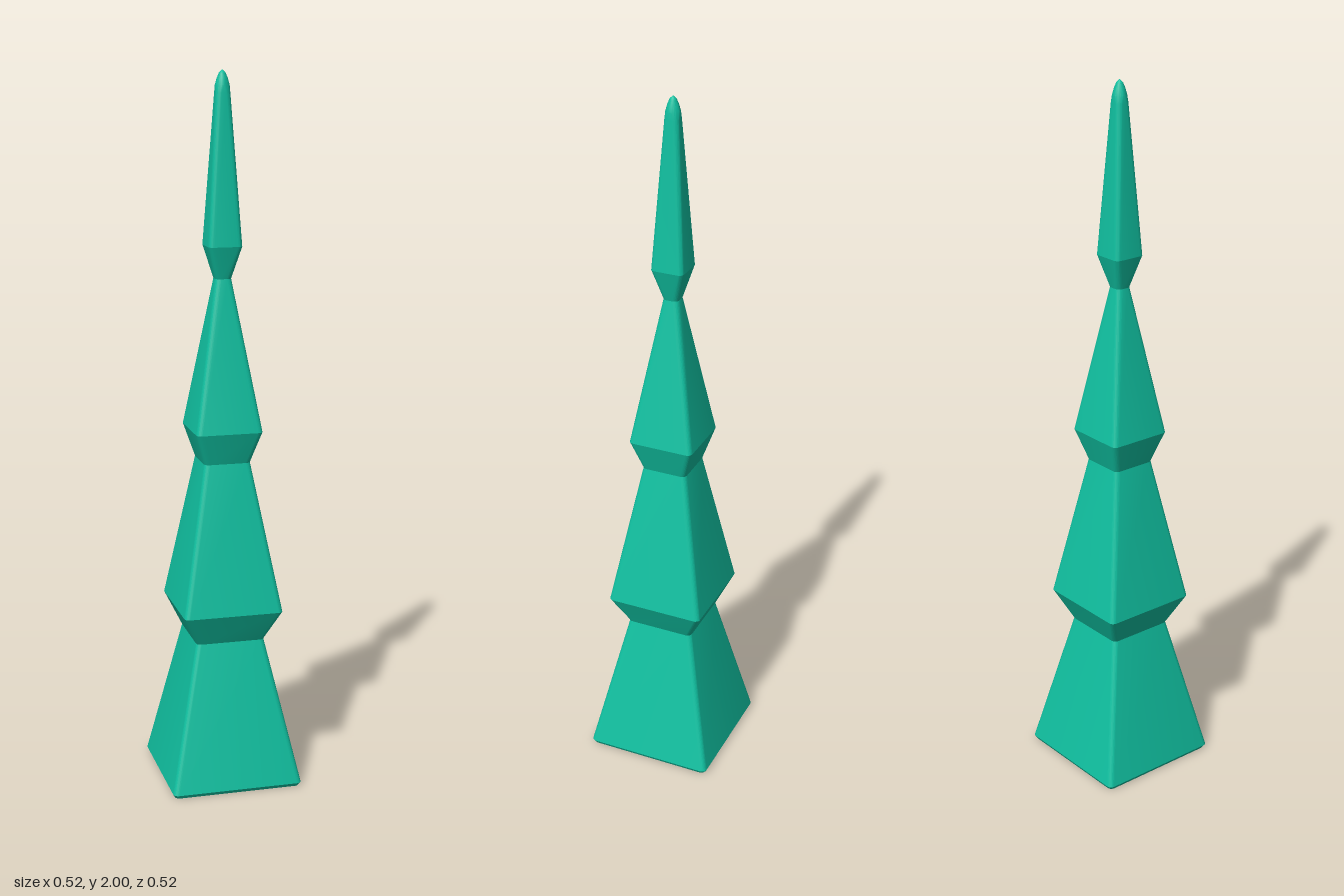
import * as THREE from 'three';
import { toCreasedNormals } from 'three/addons/utils/BufferGeometryUtils.js';

// Tier profile from bottom to tip: [height, distance from axis to corner]
const PROFILE = [
  [0, 0.25], [0.01, 0.258],
  [0.42, 0.133], [0.51, 0.194],
  [0.93, 0.087], [1.02, 0.127],
  [1.44, 0.026], [1.53, 0.061],
  [1.94, 0.023], [1.96, 0.02], [1.978, 0.015], [1.992, 0.009], [2, 0.001],
];
const CORNER = 0.014; // rounding of the four vertical edges
const STEPS = 6;      // segments per rounded corner

// Square ring with rounded corners pointing along the x and z axes
function ring(y, r) {
  const c = Math.min(y > 1.95 ? r : CORNER, r);
  const points = [];
  for (let k = 0; k < 4; k++) {
    const axis = k * Math.PI / 2;
    for (let i = 0; i <= STEPS; i++) {
      const a = axis + (i / STEPS - 0.5) * Math.PI / 2;
      points.push([
        Math.cos(axis) * (r - c) + Math.cos(a) * c,
        y,
        Math.sin(axis) * (r - c) + Math.sin(a) * c,
      ]);
    }
  }
  return points;
}

// Skin the stacked rings and close both ends
function loft(rings) {
  const n = rings[0].length;
  const positions = rings.flat(2);
  const index = [];
  for (let j = 0; j < rings.length - 1; j++) {
    for (let i = 0; i < n; i++) {
      const a = j * n + i, b = j * n + (i + 1) % n;
      index.push(a, a + n, b, b, a + n, b + n);
    }
  }
  const bottom = positions.length / 3, top = bottom + 1, last = (rings.length - 1) * n;
  positions.push(0, rings[0][0][1], 0, 0, rings.at(-1)[0][1], 0);
  for (let i = 0; i < n; i++) {
    const next = (i + 1) % n;
    index.push(bottom, i, next, top, last + next, last + i);
  }
  const geometry = new THREE.BufferGeometry();
  geometry.setAttribute('position', new THREE.Float32BufferAttribute(positions, 3));
  geometry.setIndex(index);
  return toCreasedNormals(geometry, 0.3);
}

export function createModel() {
  const group = new THREE.Group();
  group.name = 'tieredSpire';
  const material = new THREE.MeshStandardMaterial({ color: 0x10c0a0 });
  const spire = new THREE.Mesh(loft(PROFILE.map(([y, r]) => ring(y, r))), material);
  spire.name = 'spire';
  group.add(spire);
  return group;
}
